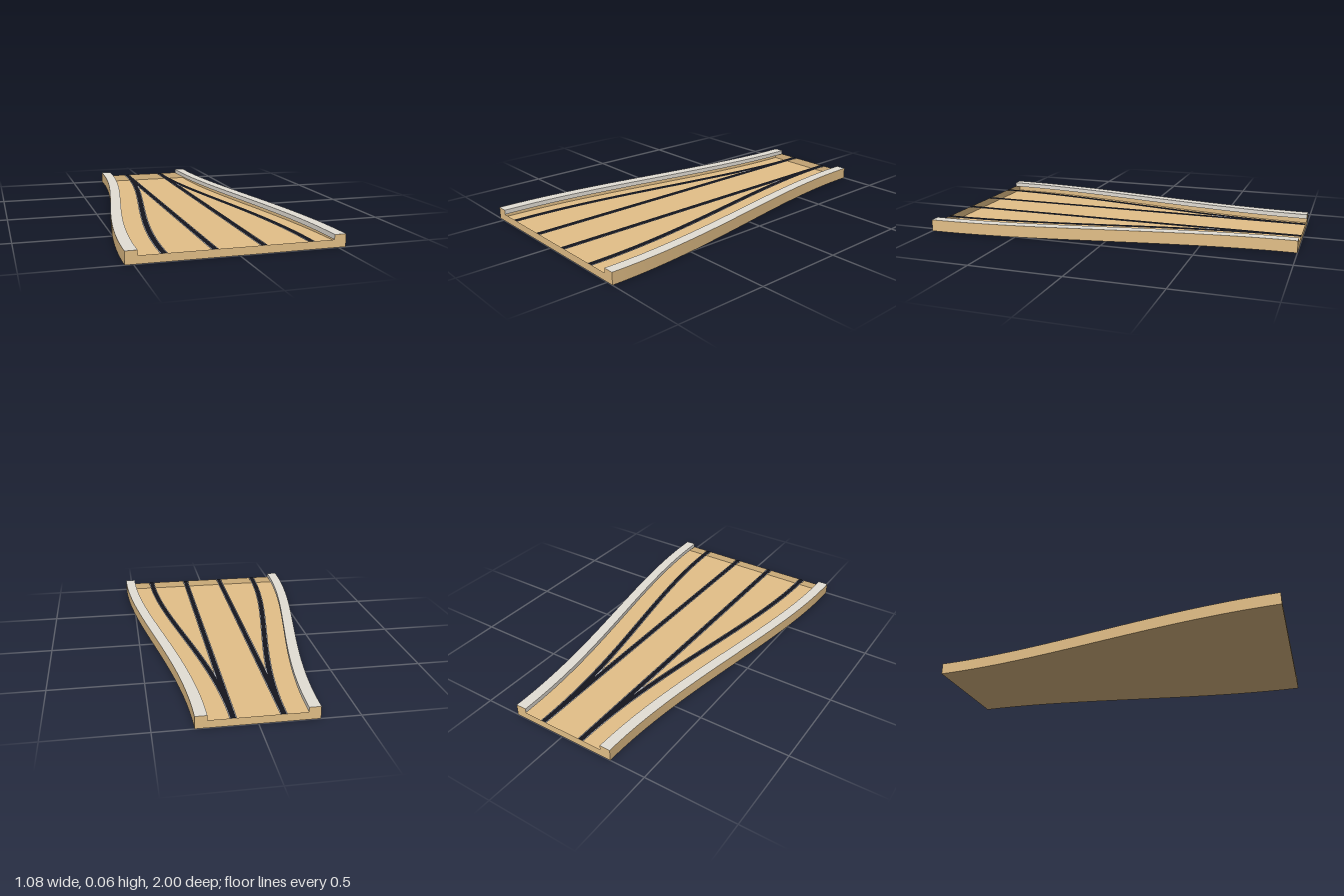
import * as THREE from 'three';

const FLOOR = 0.04, TOP = 0.065, STEPS = 48;

// S-curve stations from the narrow back to the wide front: z and outward shift
const stations = Array.from({ length: STEPS + 1 }, (_, i) => {
  const t = i / STEPS;
  return { z: 2 * t - 1, shift: 0.24 * t * t * (3 - 2 * t) };
});

// Cross-section, clockwise from the lower left corner
function profile(shift) {
  const o = 0.3 + shift, i = 0.24 + shift;
  return [[-o, 0], [-o, TOP], [-i, TOP], [-i, FLOOR], [i, FLOOR], [i, TOP], [o, TOP], [o, 0]];
}

// Ribbon between two edges; edges(shift) returns [[x, y], [x, y]]
function ribbon(name, material, edges) {
  const pos = [], idx = [];
  stations.forEach(({ z, shift }, k) => {
    for (const [x, y] of edges(shift)) pos.push(x, y, z);
    if (k < STEPS) {
      const a = 2 * k;
      idx.push(a, a + 2, a + 1, a + 1, a + 2, a + 3);
    }
  });
  const g = new THREE.BufferGeometry();
  g.setAttribute('position', new THREE.Float32BufferAttribute(pos, 3));
  g.setIndex(idx);
  g.computeVertexNormals();
  const mesh = new THREE.Mesh(g, material);
  mesh.name = name;
  return mesh;
}

export function createModel() {
  // The section is an open shell, so every surface shows from both sides
  const mat = (name, color) => {
    const m = new THREE.MeshStandardMaterial({ color, side: THREE.DoubleSide });
    m.name = name;
    return m;
  };
  const wood = mat('tan board', 0xe4c088);
  const grey = mat('pale grey kerb', 0xe4dfd6);
  const dark = mat('dark slot', 0x14161e);
  const metal = mat('metal strip', 0xa8aaae);

  const model = new THREE.Group();
  model.name = 'trackSection';

  // Base plate, outer sides and kerbs: [name, material, first profile corner]
  const sides = [
    ['rightSide', wood, 0], ['rightKerbTop', grey, 1], ['rightKerbInner', grey, 2],
    ['leftKerbInner', grey, 4], ['leftKerbTop', grey, 5], ['leftSide', wood, 6], ['basePlate', wood, 7],
  ];
  for (const [name, material, i] of sides) {
    model.add(ribbon(name, material, (shift) => {
      const p = profile(shift);
      return [p[i], p[(i + 1) % 8]];
    }));
  }

  // End plates
  for (const [name, shift, z] of [['backEnd', 0, -1], ['frontEnd', 0.24, 1]]) {
    const shape = new THREE.Shape(profile(shift).map(([x, y]) => new THREE.Vector2(x, y)));
    const end = new THREE.Mesh(new THREE.ShapeGeometry(shape), wood);
    end.name = name;
    if (z < 0) end.rotation.y = Math.PI;
    end.position.z = z;
    model.add(end);
  }

  // Two straight and two diverging lanes: dark slot over a slightly wider strip
  for (const side of [-1, 1]) {
    for (const bend of [0, 1]) {
      const line = (name, material, half, y) => model.add(ribbon(name, material, (shift) => {
        const x = side * (0.12 + bend * shift);
        return [[x - half, y], [x + half, y]];
      }));
      line('laneStrip', metal, 0.018, FLOOR);
      line('laneSlot', dark, 0.013, FLOOR + 0.0006);
    }
  }
  return model;
}
